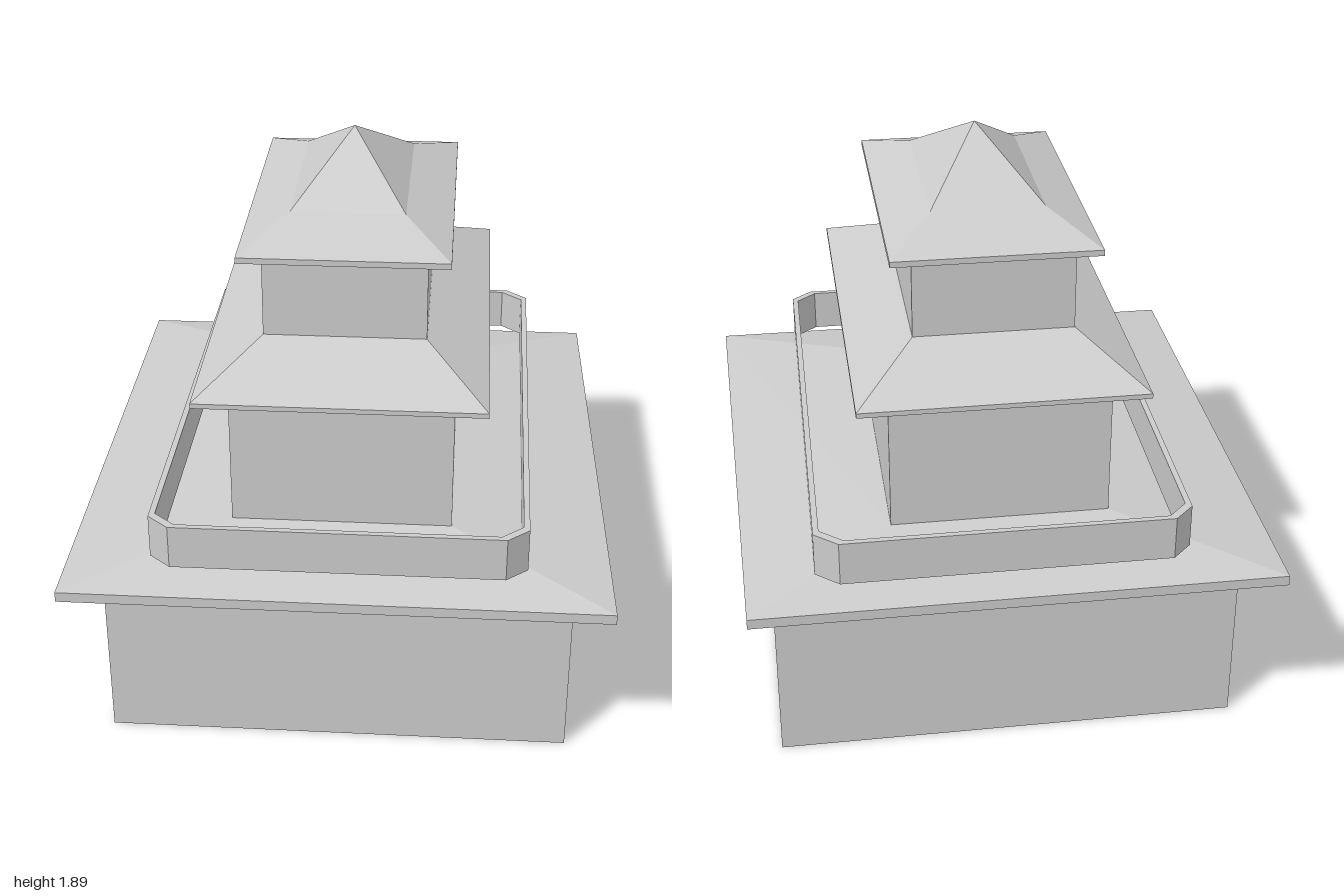
import * as THREE from 'three';

const material = new THREE.MeshStandardMaterial({
  color: 0xcccccc, flatShading: true, side: THREE.DoubleSide,
});

// Rectangular loop at height y, running front-left, front-right, back-right, back-left in plan;
// backRight lets the back right corner be pulled in
const rect = (x, z, y, backRight = x) => [[-x, y, z], [x, y, z], [backRight, y, -z], [-x, y, -z]];

// Skin of flat faces joining successive loops of equal length
function loft(name, loops) {
  const pos = [];
  for (let k = 0; k + 1 < loops.length; k++) {
    const a = loops[k], b = loops[k + 1], n = a.length;
    for (let i = 0; i < n; i++) {
      const j = (i + 1) % n;
      pos.push(...a[i], ...a[j], ...b[j]);
      if (b[i].some((v, c) => v !== b[j][c])) pos.push(...a[i], ...b[j], ...b[i]);
    }
  }
  const geometry = new THREE.BufferGeometry();
  geometry.setAttribute('position', new THREE.Float32BufferAttribute(pos, 3));
  geometry.computeVertexNormals();
  const mesh = new THREE.Mesh(geometry, material);
  mesh.name = name;
  return mesh;
}

export function createModel() {
  const model = new THREE.Group();
  model.name = 'tieredTower';

  // Hollow walls of the three storeys: half width, half depth, bottom, top
  const storeys = [
    ['baseWalls', 0.777, 0.86, 0, 0.605],
    ['middleWalls', 0.37, 0.642, 0.72, 1.19],
    ['upperWalls', 0.27, 0.475, 1.335, 1.615],
  ];
  for (const [name, x, z, y0, y1] of storeys) {
    model.add(loft(name, [rect(x, z, y0), rect(x, z, y1)]));
  }

  // Broad lower roof, its back right corner slightly pulled in
  model.add(loft('lowerRoof', [
    rect(0.777, 0.86, 0.605), rect(0.905, 1, 0.605, 0.862),
    rect(0.905, 1, 0.64, 0.862), rect(0.37, 0.642, 0.722),
  ]));

  // Middle roof rising to the foot of the upper walls
  model.add(loft('middleRoof', [
    rect(0.37, 0.642, 1.187), rect(0.479, 0.742, 1.195),
    rect(0.479, 0.742, 1.212), rect(0.27, 0.475, 1.335),
  ]));

  // Top roof with a steeper peak
  model.add(loft('topRoof', [
    rect(0.27, 0.475, 1.612), rect(0.345, 0.549, 1.62), rect(0.345, 0.549, 1.64),
    rect(0.19, 0.33, 1.712), rect(0, 0, 1.895),
  ]));

  // Parapet with cut corners, slightly skewed in plan
  const outer = [
    [-0.54, 0.922], [0.55, 0.922], [0.622, 0.86], [0.638, -0.87],
    [0.56, -0.937], [-0.53, -0.937], [-0.597, -0.87], [-0.613, 0.86],
  ];
  const parapetLoop = (inset, y) => outer.map(([x, z]) => [
    0.012 + (x - 0.012) * (1 - inset / 0.62), y, z * (1 - inset / 0.93),
  ]);
  model.add(loft('parapet', [
    parapetLoop(0, 0.705), parapetLoop(0, 0.857),
    parapetLoop(0.02, 0.857), parapetLoop(0.02, 0.705), parapetLoop(0, 0.705),
  ]));

  return model;
}
